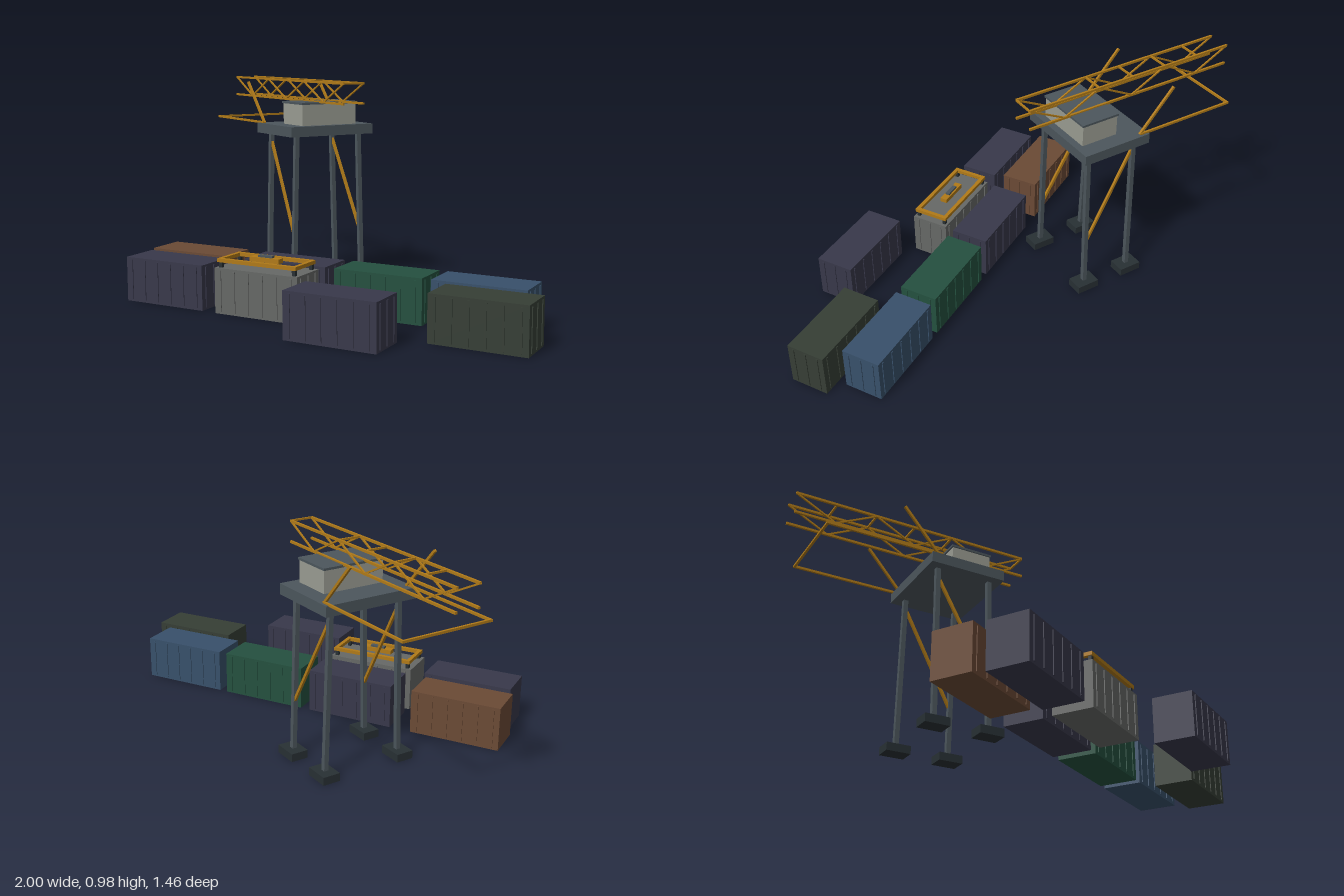
import * as THREE from 'three';

const paint = (color) => new THREE.MeshStandardMaterial({ color, flatShading: true });
const gold = paint(0xb07a18);
const steel = paint(0x4c565c);
const dark = paint(0x283034);
const wall = paint(0x9a9c92);

function box(parent, name, mat, size, pos) {
  const mesh = new THREE.Mesh(new THREE.BoxGeometry(...size), mat);
  mesh.position.set(...pos);
  mesh.name = name;
  parent.add(mesh);
  return mesh;
}

// Square bar running between two points
function bar(parent, name, mat, a, b, t) {
  const from = new THREE.Vector3(...a);
  const to = new THREE.Vector3(...b);
  const mesh = new THREE.Mesh(new THREE.BoxGeometry(t, t, from.distanceTo(to)), mat);
  mesh.position.copy(from).lerp(to, 0.5);
  mesh.lookAt(to);
  mesh.name = name;
  parent.add(mesh);
}

function makeContainer(name, color, x, z) {
  const g = new THREE.Group();
  g.name = name;
  g.position.set(x, 0, z);
  const mat = paint(color);
  box(g, 'containerBody', mat, [0.41, 0.2, 0.178], [0, 0.1, 0]);
  // Side ribs
  for (const s of [-1, 1]) {
    for (let i = 0; i < 6; i++) {
      box(g, 'sideRib', mat, [0.008, 0.18, 0.006], [-0.175 + i * 0.07, 0.1, s * 0.09]);
    }
  }
  // Door bars
  for (const dz of [-0.06, 0, 0.06]) {
    box(g, 'doorBar', mat, [0.006, 0.18, 0.007], [0.206, 0.1, dz]);
  }
  return g;
}

function makeSpreader() {
  const g = new THREE.Group();
  g.name = 'spreader';
  g.position.set(-0.207, 0, 0.418);
  for (const s of [-1, 1]) {
    box(g, 'longBeam', gold, [0.39, 0.016, 0.018], [0, 0.232, s * 0.074]);
    box(g, 'endBeam', gold, [0.018, 0.016, 0.13], [s * 0.186, 0.232, 0]);
    for (const t of [-1, 1]) {
      box(g, 'twistLock', dark, [0.016, 0.026, 0.016], [s * 0.182, 0.211, t * 0.07]);
    }
  }
  box(g, 'headBlock', gold, [0.145, 0.02, 0.034], [0, 0.238, 0]);
  box(g, 'headCap', steel, [0.07, 0.01, 0.02], [0, 0.252, 0]);
  return g;
}

function makeCrane() {
  const g = new THREE.Group();
  g.name = 'crane';
  g.position.set(-0.343, 0, -0.235);
  g.rotation.y = -Math.PI / 6;

  // Deck and machinery house
  box(g, 'deck', steel, [0.342, 0.047, 0.438], [0, 0.747, 0]);
  box(g, 'house', wall, [0.18, 0.1, 0.288], [0.047, 0.82, 0]);
  box(g, 'houseRoof', steel, [0.19, 0.01, 0.298], [0.047, 0.873, 0]);

  // Legs, feet and diagonal braces
  for (const sz of [-1, 1]) {
    for (const sx of [-1, 1]) {
      bar(g, 'leg', steel, [sx * 0.122, 0.02, sz * 0.186], [sx * 0.122, 0.73, sz * 0.167], 0.021);
      box(g, 'foot', dark, [0.11, 0.036, 0.08], [sx * 0.122, 0.018, sz * 0.188]);
    }
    bar(g, 'legBrace', gold, [-0.122, 0.69, sz * 0.168], [0.122, 0.25, sz * 0.18], 0.012);
  }

  // Lattice boom
  const near = 0.352, bay = 0.18, low = 0.879, high = 0.97;
  for (const s of [-1, 1]) {
    const z = s * 0.0525;
    for (const y of [low, high]) {
      bar(g, 'boomChord', gold, [near, y, z], [near - 6 * bay, y, z], 0.01);
    }
    for (let i = 0; i < 6; i++) {
      const up = i % 2 === 0;
      bar(g, 'boomLacing', gold, [near - i * bay, up ? high : low, z],
        [near - (i + 1) * bay, up ? low : high, z], 0.007);
    }
  }
  for (const i of [0, 2, 3, 4, 5]) {
    const x = near - i * bay;
    bar(g, 'boomRung', gold, [x, high, -0.0525], [x, high, 0.0525], 0.008);
  }

  // Outrigger frame with raking stays
  for (const s of [-1, 1]) {
    bar(g, 'frameRail', gold, [-0.13, 0.773, s * 0.204], [-0.63, 0.773, s * 0.204], 0.01);
    bar(g, 'stay', gold, [-0.13, 0.77, s * 0.2], [-0.3, 0.96, s * 0.2], 0.011);
  }
  bar(g, 'frameEnd', gold, [-0.63, 0.773, -0.209], [-0.63, 0.773, 0.209], 0.01);
  return g;
}

export function createModel() {
  const model = new THREE.Group();
  model.name = 'containerYard';
  const purple = 0x38384a;
  const yard = [
    ['brownContainer', 0x6b4a35, -0.71, 0.196],
    ['rearPurpleContainer', purple, -0.2, 0.196],
    ['greenContainer', 0x24503f, 0.254, 0.196],
    ['blueContainer', 0x38506a, 0.703, 0.196],
    ['middlePurpleContainer', purple, -0.687, 0.415],
    ['greyContainer', 0x666866, -0.207, 0.418],
    ['oliveContainer', 0x363e35, 0.785, 0.415],
    ['frontPurpleContainer', purple, 0.267, 0.636],
  ];
  for (const c of yard) model.add(makeContainer(...c));
  model.add(makeSpreader(), makeCrane());
  return model;
}
